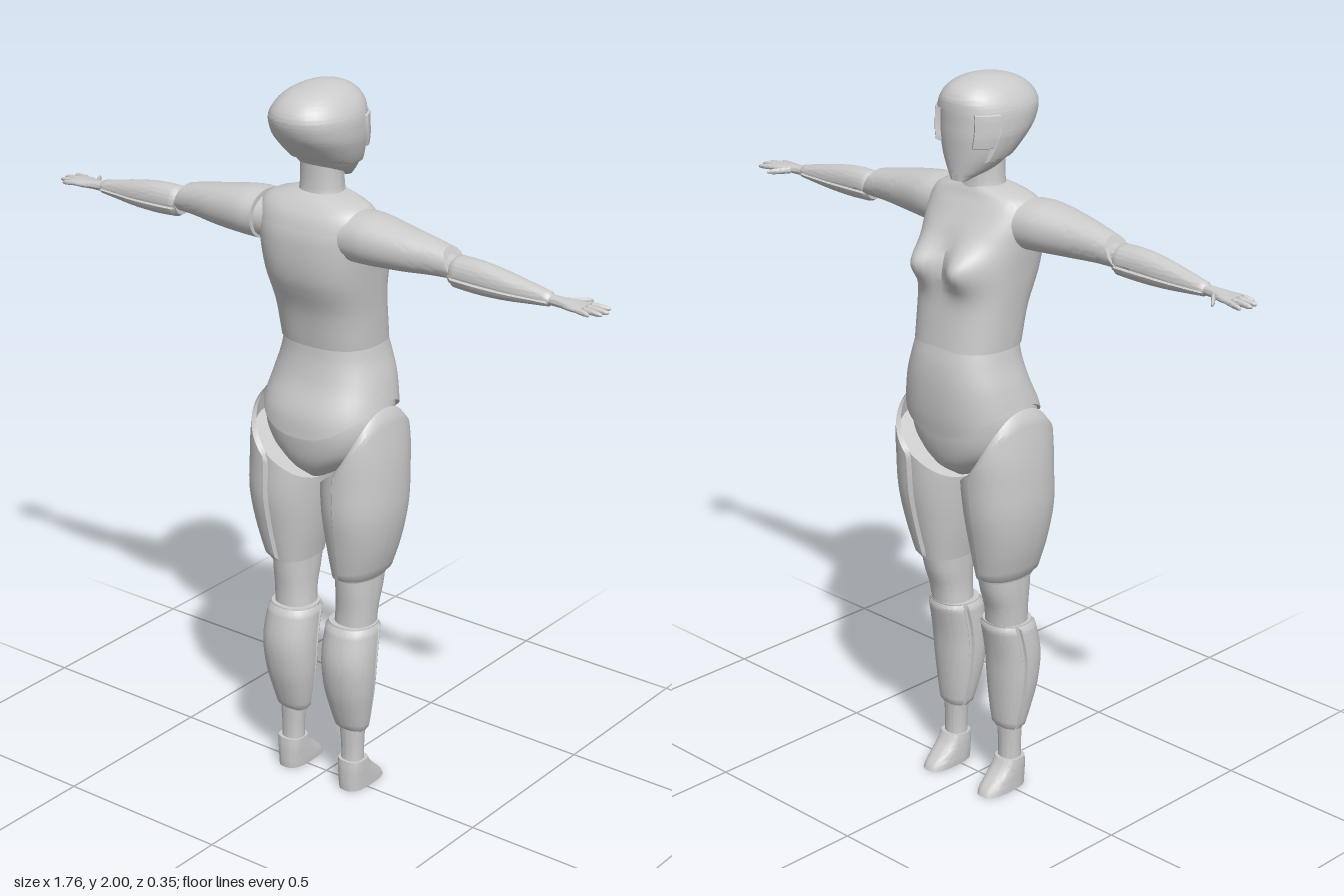
import * as THREE from 'three';
import { toCreasedNormals } from 'three/addons/utils/BufferGeometryUtils.js';

const grey = new THREE.MeshStandardMaterial({ color: 0xcccccc, side: THREE.DoubleSide });
const DEG = Math.PI / 180;

// Smooth interpolation of cross-sections [s, a0, a1, b0, b1] at position s
function section(rows, s) {
  let k = 0;
  while (k < rows.length - 2 && s > rows[k + 1][0]) k++;
  const p = rows[k], q = rows[k + 1], h = q[0] - p[0];
  const u = THREE.MathUtils.clamp((s - p[0]) / h, 0, 1);
  const slope = (i, c) => {
    const lo = rows[Math.max(i - 1, 0)], hi = rows[Math.min(i + 1, rows.length - 1)];
    return (hi[c] - lo[c]) / (hi[0] - lo[0]);
  };
  return [1, 2, 3, 4].map(c => {
    const m0 = slope(k, c) * h, m1 = slope(k + 1, c) * h;
    const u2 = u * u, u3 = u2 * u;
    return (2 * u3 - 3 * u2 + 1) * p[c] + (u3 - 2 * u2 + u) * m0 +
      (3 * u2 - 2 * u3) * q[c] + (u3 - u2) * m1;
  });
}

// Loft through the sections. arc = [from, to] in degrees makes a raised plate;
// start(t) and end(t) trim the ends; grow pushes the surface outward.
function loft(rows, o = {}) {
  const { arc, grow = 0, power = 2.2, cols = 36, steps = 24, axis = 'y', warp, mirror } = o;
  const [t0, t1] = (arc || [0, 360]).map(d => d * DEG);
  const start = o.start || (() => rows[0][0]);
  const end = o.end || (() => rows[rows.length - 1][0]);
  const bend = v => Math.sign(v) * Math.abs(v) ** (2 / power);
  const pos = [], index = [], v = new THREE.Vector3();
  const put = (s, a, b) => {
    if (axis === 'x') v.set(s, b, a); else v.set(a, s, b);
    if (warp) warp(v);
    pos.push(mirror ? -v.x : v.x, v.y, v.z);
  };
  const tri = (a, b, c) => mirror ? index.push(a, c, b) : index.push(a, b, c);
  for (let r = 0; r <= steps; r++) for (let c = 0; c <= cols; c++) {
    const t = t0 + (t1 - t0) * (c === cols && !arc ? 0 : c / cols);
    const s = THREE.MathUtils.lerp(start(t), end(t), r / steps);
    const [a0, a1, b0, b1] = section(rows, s);
    const rim = arc && (c === 0 || c === cols || r === 0 || r === steps);
    const g = rim ? -0.008 : grow;
    put(s, (a0 + a1) / 2 + ((a1 - a0) / 2 + g) * bend(Math.cos(t)),
      (b0 + b1) / 2 + ((b1 - b0) / 2 + g) * bend(Math.sin(t)));
  }
  const w = cols + 1;
  for (let r = 0; r < steps; r++) for (let c = 0; c < cols; c++) {
    const i = r * w + c;
    tri(i, i + w, i + 1);
    tri(i + 1, i + w, i + w + 1);
  }
  // End caps
  if (!arc) for (const r of [0, steps]) {
    const m = [0, 0, 0], centre = pos.length / 3;
    for (let c = 0; c < cols; c++) for (let k = 0; k < 3; k++) m[k] += pos[(r * w + c) * 3 + k] / cols;
    pos.push(...m);
    for (let c = 0; c < cols; c++) {
      const i = r * w + c;
      if (r) tri(centre, i + 1, i); else tri(centre, i, i + 1);
    }
  }
  const g = new THREE.BufferGeometry();
  g.setAttribute('position', new THREE.Float32BufferAttribute(pos, 3));
  g.setIndex(index);
  return toCreasedNormals(g, 0.7);
}

export function createModel() {
  const model = new THREE.Group();
  model.name = 'figure';
  const add = (parent, name, rows, o) => {
    const mesh = new THREE.Mesh(loft(rows, o), grey);
    mesh.name = name;
    parent.add(mesh);
  };

  // Chest, with the bust raised from the front (-z) surface
  add(model, 'chest', [
    [1.30, -.14, .14, -.157, .08], [1.40, -.146, .146, -.142, .10], [1.50, -.156, .156, -.128, .137],
    [1.60, -.167, .167, -.10, .143], [1.66, -.166, .166, -.065, .127], [1.69, -.15, .15, -.045, .105],
    [1.703, -.11, .11, -.04, .09], [1.715, -.062, .062, -.032, .072]],
  { power: 2.5, cols: 64, steps: 44, warp: p => {
    if (p.z > 0) return;
    const d = ((Math.abs(p.x) - .072) / .05) ** 2 + ((p.y - 1.52) / .055) ** 2;
    p.z -= .055 * Math.exp(-d) * Math.min(1, -p.z / .06);
  } });

  // Abdomen with a hem that dips at front and back
  const hips = [[1.05, -.187, .187, -.162, .137], [1.12, -.182, .182, -.172, .128],
    [1.20, -.165, .165, -.174, .095], [1.26, -.147, .147, -.168, .08], [1.31, -.136, .136, -.155, .075]];
  add(model, 'abdomen', hips, { power: 2.4, cols: 48, start: t => 1.06 + .09 * Math.cos(t) ** 2 });
  add(model, 'pelvis', [
    [.925, -.025, .025, -.075, .06], [.96, -.085, .085, -.125, .10], [1.02, -.155, .155, -.15, .122],
    [1.10, -.176, .176, -.16, .126], [1.18, -.16, .16, -.165, .095]], { power: 2.3 });

  // Neck and head
  add(model, 'neck', [[1.67, -.075, .075, -.045, .085], [1.72, -.06, .06, -.035, .07],
    [1.83, -.057, .057, -.03, .07]]);
  const skull = [
    [1.735, -.03, .03, -.093, -.05], [1.765, -.066, .066, -.095, .045], [1.80, -.09, .09, -.097, .085],
    [1.85, -.108, .108, -.10, .135], [1.88, -.112, .112, -.10, .158], [1.92, -.11, .11, -.10, .17],
    [1.95, -.096, .096, -.096, .157], [1.975, -.073, .073, -.075, .125], [1.99, -.046, .046, -.045, .082],
    [1.998, -.016, .016, -.008, .03]];
  const head = new THREE.Group();
  head.name = 'head';
  model.add(head);
  add(head, 'face', skull, { grow: -.006, steps: 36 });
  add(head, 'helmetCrown', skull, { grow: .002, steps: 20,
    start: t => 1.90 + .02 * Math.max(0, -Math.sin(t)) });
  add(head, 'helmetBack', skull, { arc: [-28, 208], grow: .002, steps: 26,
    start: t => 1.785 + .02 * Math.max(0, Math.sin(t)), end: () => 1.925 });
  for (const arc of [[-58, -22], [202, 238]])
    add(head, 'earGuard', skull, { arc, grow: .007, cols: 14, steps: 16,
      start: () => 1.825, end: () => 1.92 });

  // Limb cross-sections for the +x side
  const thigh = [
    [.65, .04, .173, -.10, .084], [.75, .024, .203, -.123, .105], [.85, .014, .218, -.143, .122],
    [.95, .012, .216, -.153, .124], [1.03, .03, .208, -.157, .124], [1.15, .07, .186, -.145, .115]];
  const calf = [
    [.18, .056, .146, -.02, .048], [.24, .043, .158, -.026, .068], [.32, .031, .171, -.032, .09],
    [.41, .027, .176, -.04, .098], [.51, .029, .17, -.06, .078]];
  const upperArm = [
    [.15, -.035, .13, 1.56, 1.692], [.20, -.03, .132, 1.562, 1.692], [.30, -.01, .118, 1.567, 1.677],
    [.38, .002, .10, 1.573, 1.662], [.445, .008, .088, 1.575, 1.648]];
  const forearm = [
    [.44, .014, .09, 1.558, 1.637], [.52, .018, .09, 1.554, 1.637], [.60, .022, .085, 1.556, 1.626],
    [.67, .027, .076, 1.562, 1.612], [.735, .033, .068, 1.568, 1.598]];

  for (const side of ['left', 'right']) {
    const mirror = side === 'right';
    const leg = new THREE.Group(), arm = new THREE.Group();
    leg.name = side + 'Leg';
    arm.name = side + 'Arm';
    model.add(leg, arm);

    // Leg: cores with raised plates on top
    add(leg, 'innerThigh', thigh, { mirror, grow: -.005, end: t => .98 + .08 * Math.cos(t) });
    add(leg, 'thighPlate', thigh, { mirror, arc: [-95, 95], grow: .004,
      end: t => .985 + .155 * Math.cos(t) });
    add(leg, 'knee', [[.48, .045, .157, -.05, .06], [.55, .05, .16, -.06, .06],
      [.61, .05, .163, -.08, .066], [.67, .05, .163, -.095, .072]], { mirror });
    add(leg, 'calf', calf, { mirror, grow: -.005 });
    add(leg, 'calfPlate', calf, { mirror, arc: [-20, 200], grow: .002 });
    add(leg, 'shinPlate', calf, { mirror, arc: [203, 337], grow: .002 });
    add(leg, 'ankle', [[.06, .072, .136, -.014, .047], [.12, .072, .136, -.012, .045],
      [.20, .066, .14, -.014, .048]], { mirror });
    add(leg, 'foot', [[0, .068, .144, -.096, .056], [.015, .067, .144, -.088, .057],
      [.04, .067, .144, -.062, .057], [.065, .067, .144, -.036, .056], [.09, .068, .143, -.02, .053]],
    { mirror, power: 2.8, steps: 12 });

    // Arm, lofted outward along x
    const along = { mirror, axis: 'x' };
    add(arm, 'shoulderJoint', [[.12, -.03, .115, 1.56, 1.68], [.19, -.025, .12, 1.57, 1.68]], along);
    add(arm, 'upperArm', upperArm, { ...along, end: t => .44 - .02 * Math.sin(t) });
    add(arm, 'elbow', [[.38, .015, .08, 1.58, 1.64], [.50, .02, .08, 1.57, 1.63]], along);
    add(arm, 'forearm', forearm, { ...along, grow: -.005 });
    add(arm, 'forearmTopPlate', forearm, { ...along, arc: [-8, 188], grow: .001 });
    add(arm, 'forearmUnderPlate', forearm, { ...along, arc: [194, 346], grow: .001 });
    add(arm, 'palm', [[.72, .036, .065, 1.57, 1.596], [.76, .03, .069, 1.571, 1.594],
      [.79, .018, .077, 1.571, 1.592], [.825, .012, .08, 1.573, 1.59]], { ...along, power: 2.6 });

    // Fingers and thumb: [base x, tip x, base z, tip z, radius]
    const digits = [[.815, .868, .02, .008, .0075], [.815, .88, .038, .035, .008],
      [.815, .876, .056, .058, .0075], [.81, .852, .072, .078, .007], [.76, .803, .036, -.018, .009]];
    digits.forEach(([x0, x1, z0, z1, r], i) => {
      const rows = [0, .35, .7, .9, 1].map((u, k) => {
        const z = z0 + (z1 - z0) * u, y = 1.582 - .004 * u, q = r * [1, 1, .9, .7, .3][k];
        return [x0 + (x1 - x0) * u, z - q, z + q, y - q, y + q];
      });
      add(arm, i === 4 ? 'thumb' : 'finger', rows, { ...along, cols: 12, steps: 12 });
    });
  }
  return model;
}
